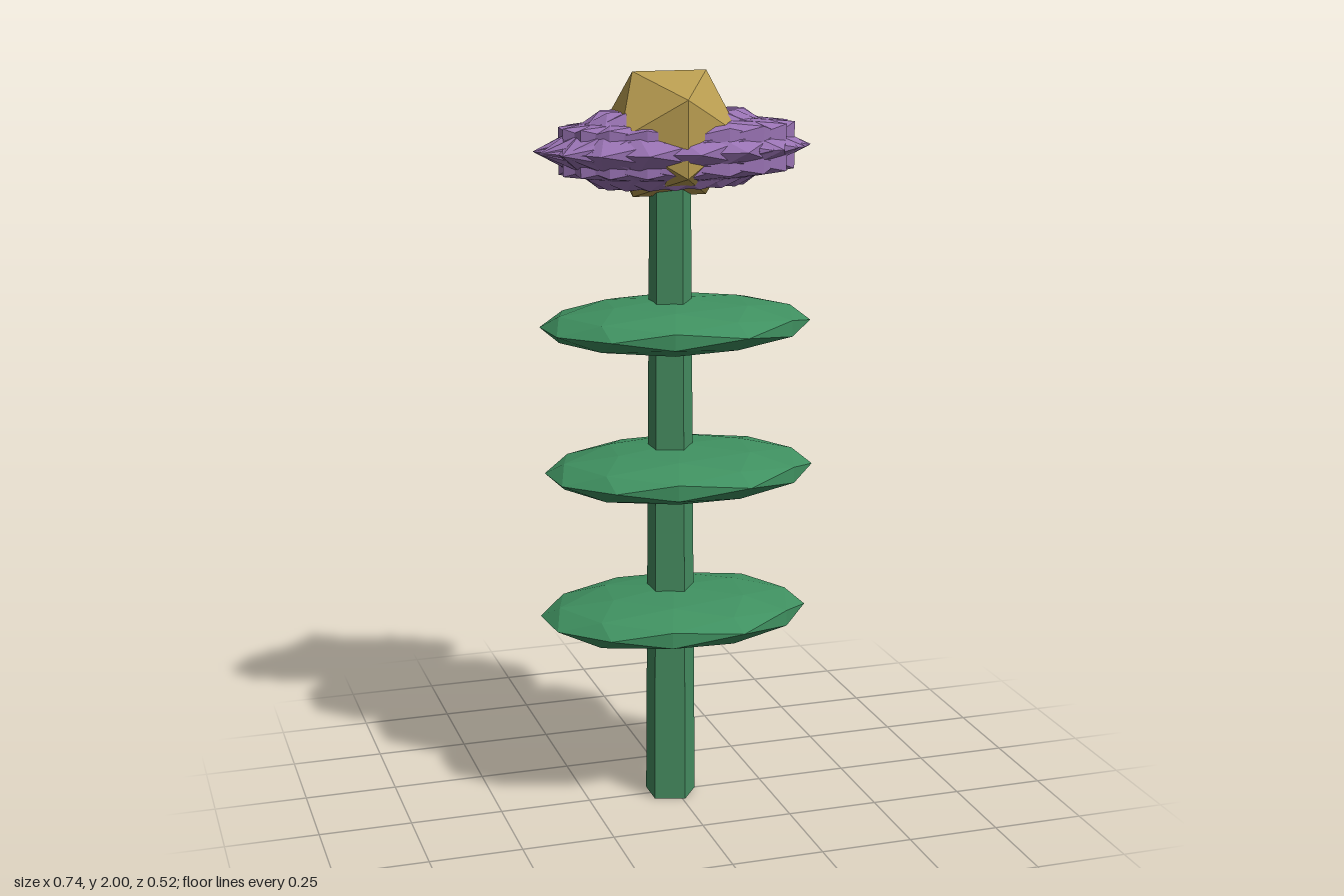
import * as THREE from 'three';

const paint = (color) => new THREE.MeshStandardMaterial({ color, flatShading: true });

// Unit icosahedron turned about y first, then stretched into an ellipsoid.
function faceted(detail, turn, rx, ry, rz) {
  return new THREE.IcosahedronGeometry(1, detail).rotateY(turn).scale(rx, ry, rz);
}

export function createModel() {
  const model = new THREE.Group();
  model.name = 'flower';
  const axisX = -0.015;

  const add = (parent, name, geometry, material, x, y, z) => {
    const mesh = new THREE.Mesh(geometry, material);
    mesh.name = name;
    mesh.position.set(x, y, z);
    parent.add(mesh);
    return mesh;
  };

  // Five-sided tapering stem, one corner towards +x
  const stemHeight = 1.78;
  const stemGeometry = new THREE.CylinderGeometry(0.057, 0.072, stemHeight, 5).rotateY(Math.PI / 2);
  add(model, 'stem', stemGeometry, paint(0x458c60), axisX, stemHeight / 2, 0);

  // Three flat leaf discs, each a little off the stem axis
  const leafMaterial = paint(0x3f9060);
  const leafGeometry = faceted(1, THREE.MathUtils.degToRad(19), 0.369, 0.07, 0.262);
  const leafCentres = [
    [-0.01, 0.54, 0.016],
    [0.01, 0.937, 0.004],
    [0.005, 1.333, -0.011],
  ];
  leafCentres.forEach(([x, y, z], i) => add(model, `leaf${i + 1}`, leafGeometry, leafMaterial, x, y, z));

  // Spiky bloom: interpenetrating petals fanned about the vertical axis
  const petals = new THREE.Group();
  petals.name = 'petals';
  model.add(petals);
  const petalMaterial = paint(0x9872b2);
  const petalCount = 9;
  for (let i = 0; i < petalCount; i++) {
    const turn = (i * Math.PI) / petalCount;
    const geometry = faceted(0, turn, 0.375, 0.117, 0.175);
    add(petals, `petal${i + 1}`, geometry, petalMaterial,
      -0.008 * Math.cos(2 * turn), 1.8, -0.005 + 0.006 * Math.sin(2 * turn));
  }

  // Faceted golden heart, edge-up
  add(model, 'flowerCentre', new THREE.IcosahedronGeometry(0.19, 0), paint(0xb89c50), axisX, 1.838, -0.004);

  return model;
}
